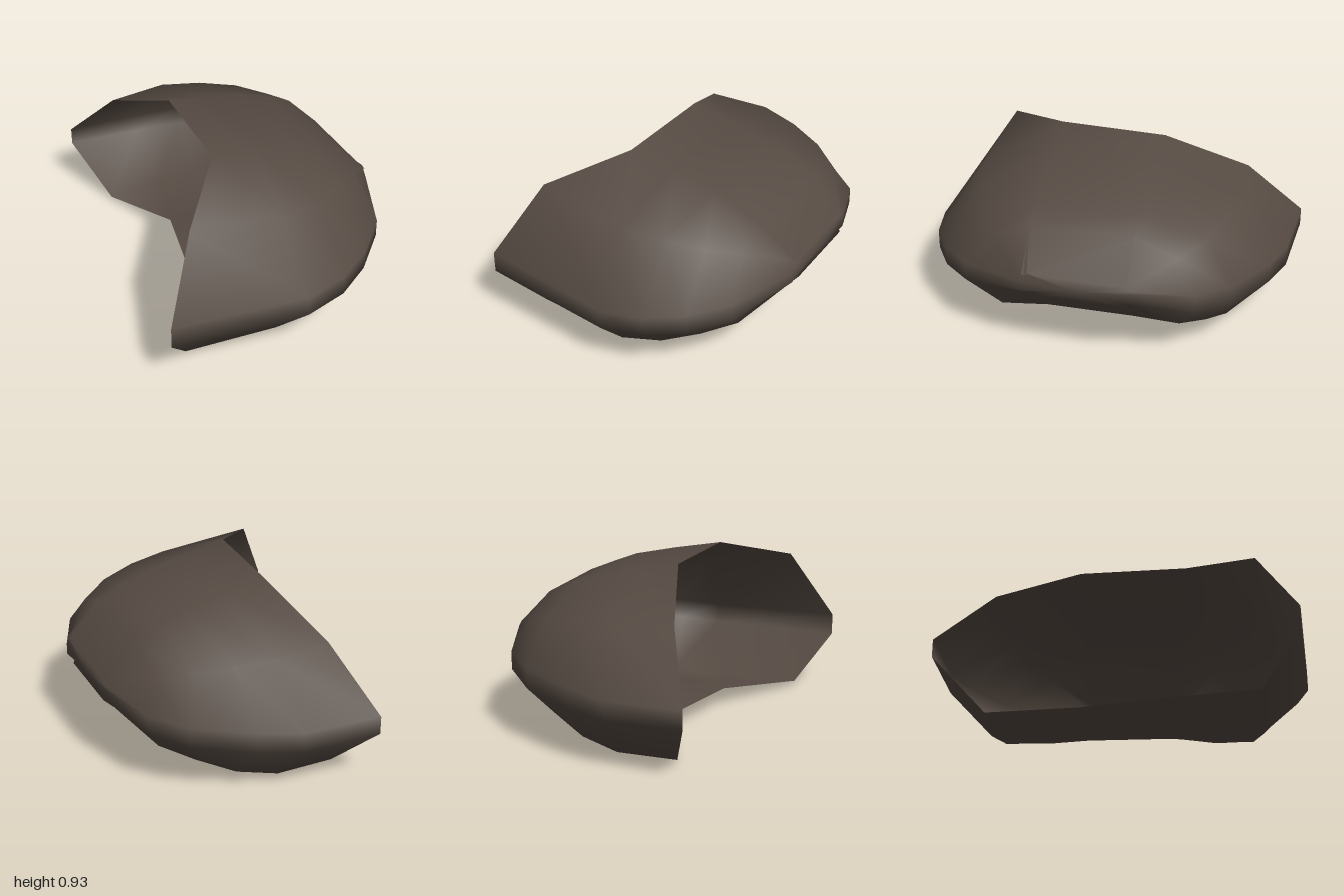
import * as THREE from 'three';

// Curved open shell: 12-point rings lofted from the saddle-shaped opening (-x) to the narrow outer end (+x).
// Ring order: front tip, front shoulder, top (2), rear shoulder, rear tip (2), lower rear, bottom (2), lower front, front tip.
const opening = [
  [-0.75, 0.41, 0.92], [-0.54, 0.81, 0.71], [-0.23, 0.93, 0.34], [-0.2, 0.93, -0.25],
  [-0.35, 0.72, -0.7], [-0.51, 0.39, -1], [-0.51, 0.29, -1], [-0.38, 0.02, -0.73],
  [-0.21, 0.11, -0.25], [-0.31, 0.11, 0.2], [-0.58, 0.03, 0.72], [-0.75, 0.29, 0.92],
];

// One ring from its crown, shoulder, tip and underside measures
function ring({ x, top, shoulder, shoulderZ, front, rear, hi, lo, under, bottom, topX }) {
  const [fx, fz] = front, [rx, rz] = rear;
  return [
    [fx, hi, fz], [x, shoulder + 0.03, shoulderZ], [topX, top, 0.31], [topX, top, -0.25],
    [x, shoulder, -shoulderZ], [rx, hi, rz], [rx, lo, rz], [x - 0.03, under + 0.02, -shoulderZ],
    [topX, bottom, -0.25], [topX, bottom, 0.22], [x - 0.03, under, shoulderZ], [fx, lo, fz],
  ];
}

const rings = [
  opening,
  ring({ x: -0.02, topX: 0.03, top: 0.885, shoulder: 0.71, shoulderZ: 0.74, front: [0, 0.995], rear: [-0.08, -0.975], hi: 0.38, lo: 0.27, under: 0, bottom: 0.115 }),
  ring({ x: 0.2, topX: 0.27, top: 0.83, shoulder: 0.69, shoulderZ: 0.69, front: [0.23, 0.95], rear: [0.15, -0.91], hi: 0.4, lo: 0.29, under: 0.04, bottom: 0.13 }),
  ring({ x: 0.4, topX: 0.42, top: 0.77, shoulder: 0.66, shoulderZ: 0.61, front: [0.42, 0.84], rear: [0.46, -0.75], hi: 0.42, lo: 0.31, under: 0.12, bottom: 0.17 }),
  ring({ x: 0.56, topX: 0.56, top: 0.71, shoulder: 0.62, shoulderZ: 0.49, front: [0.6, 0.67], rear: [0.63, -0.59], hi: 0.45, lo: 0.35, under: 0.18, bottom: 0.23 }),
  ring({ x: 0.74, topX: 0.74, top: 0.52, shoulder: 0.5, shoulderZ: 0.28, front: [0.745, 0.31], rear: [0.74, -0.28], hi: 0.48, lo: 0.42, under: 0.4, bottom: 0.4 }),
];

function loft(sections) {
  const n = sections[0].length;
  const points = sections.flat();
  const index = [];
  for (let i = 0; i < sections.length - 1; i++) {
    for (let j = 0; j < n; j++) {
      const k = (j + 1) % n;
      const a = i * n + j, b = i * n + k, c = a + n, d = b + n;
      index.push(a, c, b, b, c, d);
    }
  }
  // Close the outer end
  const base = (sections.length - 1) * n;
  points.push([0.75, 0.46, 0.02]);
  for (let j = 0; j < n; j++) index.push(points.length - 1, base + (j + 1) % n, base + j);

  const geometry = new THREE.BufferGeometry();
  geometry.setAttribute('position', new THREE.Float32BufferAttribute(points.flat(), 3));
  geometry.setIndex(index);
  geometry.computeVertexNormals();
  return geometry;
}

export function createModel() {
  const group = new THREE.Group();
  group.name = 'curvedShell';
  const material = new THREE.MeshStandardMaterial({ color: 0x564b43, side: THREE.DoubleSide });
  material.name = 'dark brown';
  const shell = new THREE.Mesh(loft(rings), material);
  shell.name = 'shell';
  group.add(shell);
  return group;
}
